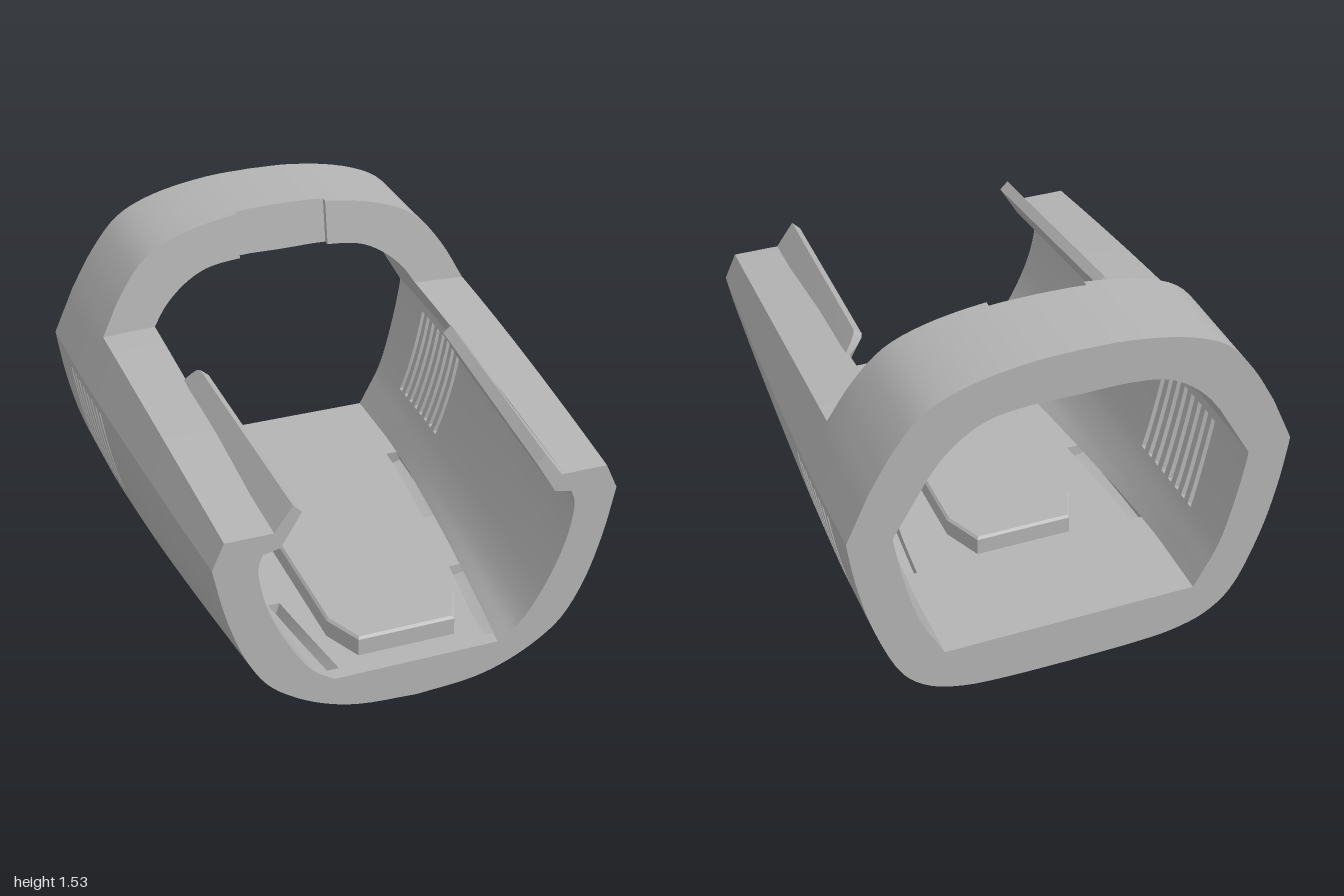
import * as THREE from 'three';
import { toCreasedNormals } from 'three/addons/utils/BufferGeometryUtils.js';

const STEPS = 4; // columns per profile interval
// Half profiles [x, y] from bottom centre, past the side crease (8) and rim (9), to top centre
const outerBack = [[0, 0], [.3, .005], [.46, .02], [.6, .065], [.71, .16], [.825, .42], [.885, .65], [.915, .83],
  [.922, .885], [.83, 1.09], [.73, 1.26], [.61, 1.4], [.45, 1.475], [.2, 1.522], [0, 1.53]];
const innerBack = [[0, .225], [.3, .225], [.49, .225], [.54, .225], [.575, .29], [.64, .42], [.7, .64], [.735, .82],
  [.74, .86], [.6, 1.1], [.54, 1.18], [.45, 1.26], [.35, 1.31], [.2, 1.33], [0, 1.33]];
const outerFront = [[0, .055], [.25, .075], [.4, .12], [.53, .19], [.63, .275], [.72, .43], [.79, .64], [.825, .8],
  [.835, .85], [.785, .96], ...outerBack.slice(10)];
const innerFront = [[0, .225], [.22, .225], [.3, .225], [.35, .225], [.44, .29], [.54, .44], [.625, .64], [.655, .8],
  [.65, .84], [.6, .96], ...innerBack.slice(10)];

// Vent slots
const SLOTS = 8, SLOT_START = -.31, PITCH = .0605, SLOT_WIDTH = .028;

const clamp = (v) => Math.min(1, Math.max(0, v));
const mix = (a, b, t) => a + (b - a) * t;

// Smooth curve through the points, with corners at the break indices
function sampleProfile(points, breaks) {
  const result = [];
  const stops = [0, ...breaks, points.length - 1];
  for (let s = 0; s < stops.length - 1; s++) {
    const run = points.slice(stops[s], stops[s + 1] + 1).map(([x, y]) => new THREE.Vector3(x, y, 0));
    const samples = new THREE.CatmullRomCurve3(run).getPoints((run.length - 1) * STEPS);
    result.push(...(s ? samples.slice(1) : samples));
  }
  return result;
}

function quad(out, a, b, c, d) {
  for (const p of [a, b, c, a, c, d]) out.push(p.x, p.y, p.z);
}

function toGeometry(positions, crease) {
  const geometry = new THREE.BufferGeometry();
  geometry.setAttribute('position', new THREE.Float32BufferAttribute(positions, 3));
  return toCreasedNormals(geometry, crease);
}

// Thick shell on a grid: each cell has a thickness from 0 (hole) to 1 (full wall)
function shellGeometry() {
  const oB = sampleProfile(outerBack, [8, 9]), oF = sampleProfile(outerFront, [8, 9]);
  const iB = sampleProfile(innerBack, [3, 8, 9]), iF = sampleProfile(innerFront, [3, 8, 9]);
  const half = oB.length - 1, cols = half * 2;

  const rows = [-1, -.9, -.8, -.53, -.5, -.2, -.1, .05, .2, .32, .44, .6, .77, .94, 1];
  for (let k = 0; k < SLOTS; k++) rows.push(SLOT_START - k * PITCH, SLOT_START - k * PITCH - SLOT_WIDTH);
  rows.sort((a, b) => a - b);

  const point = (back, front, j, z, inner) => {
    const m = j <= half ? j : cols - j;
    const w = Math.pow(clamp((z + .7) / 1.7), 1.4);
    const p = back[m].clone().lerp(front[m], w);
    p.x *= j <= half ? 1 : -1;
    p.z = z;
    // lean the front face of the hoop backwards
    if (m > 9 * STEPS) p.z -= .16 * Math.max(0, p.y - 1.09) * (z + 1) / .5;
    // bow the vents and rake them through the wall
    if (m < 8 * STEPS && z > -.78 && z < -.29) {
      p.z -= .022 * clamp((.83 - p.y) / .41) ** 2;
      if (inner) p.z += .04;
    }
    return p;
  };
  const grid = rows.map((z) => Array.from({ length: cols }, (_, j) =>
    [point(oB, oF, j, z, false), point(iB, iF, j, z, true)]));

  const thickness = (i, j) => {
    if (i < 0 || i >= rows.length - 1) return 0;
    j = (j + cols) % cols;
    const m = j < half ? j : cols - 1 - j;
    const z = (rows[i] + rows[i + 1]) / 2;
    if (m >= 9 * STEPS && z > -.5) return 0;                       // open top
    if (m >= 13 * STEPS && z > -.53) return 0;                     // hoop notch
    const s = (SLOT_START - z) / PITCH;
    if (m >= 5 * STEPS && m < 7 * STEPS && s > 0 && s < SLOTS && s % 1 < SLOT_WIDTH / PITCH) return 0;
    const groove = (z > -.53 && z < .05) || (z > .44 && z < .94);
    if (m >= 2 * STEPS && m < 3 * STEPS && groove) return .65;     // floor grooves
    return 1;
  };

  const out = [];
  const at = ([o, n], t) => o.clone().lerp(n, t);
  for (let i = 0; i < rows.length - 1; i++) {
    for (let j = 0; j < cols; j++) {
      const t = thickness(i, j);
      if (!t) continue;
      const k = (j + 1) % cols;
      const c = [grid[i][j], grid[i][k], grid[i + 1][k], grid[i + 1][j]];
      quad(out, ...c.map((p) => at(p, 0)));
      quad(out, ...[...c].reverse().map((p) => at(p, t)));
      const near = [thickness(i - 1, j), thickness(i, j + 1), thickness(i + 1, j), thickness(i, j - 1)];
      near.forEach((n, e) => {
        if (n >= t) return;
        const a = c[e], b = c[(e + 1) % 4];
        quad(out, at(b, n), at(a, n), at(a, t), at(b, t));
      });
    }
  }
  return toGeometry(out, .45);
}

// Retaining lip along the left rim, rounded off at its rear end
function lipGeometry() {
  const rear = [[.555, 1.13], [.52, 1.1], [.59, .97], [.65, .95], [.69, .98], [.68, 1.04], [.62, 1.045]];
  const front = [[.515, 1.065], [.48, 1.03], [.565, .89], [.63, .875], [.66, .9], [.65, .955], [.59, .96]];
  const stations = [-.08, -.07, -.055, -.04, -.02, 0, .25, .5, .75, 1];
  const sections = stations.map((z) => rear.map(([x, y], n) => {
    const s = Math.max(0, z), round = clamp(-z / .08) ** 2;
    return new THREE.Vector3(
      mix(mix(x, front[n][0], s), .66, round),
      mix(mix(y, front[n][1], s), 1.0, round), z);
  }));
  const out = [], count = rear.length;
  for (let i = 0; i < sections.length - 1; i++) {
    for (let n = 0; n < count; n++) {
      const k = (n + 1) % count;
      quad(out, sections[i][n], sections[i][k], sections[i + 1][k], sections[i + 1][n]);
    }
  }
  // front cap
  const end = sections[sections.length - 1];
  const cap = THREE.ShapeUtils.triangulateShape(end.map((p) => new THREE.Vector2(p.x, p.y)), []);
  for (const face of cap) for (const n of face) out.push(end[n].x, end[n].y, end[n].z);
  return toGeometry(out, .45);
}

// Raised pad with clipped corners
function padGeometry() {
  const outline = [[-.2, -.88], [.2, -.88], [.27, -.72], [.27, .32], [.2, .48], [-.2, .48], [-.27, .32], [-.27, -.72]];
  const shape = new THREE.Shape(outline.map(([x, y]) => new THREE.Vector2(x, y)));
  const geometry = new THREE.ExtrudeGeometry(shape, {
    depth: .09, bevelEnabled: true, bevelThickness: .01, bevelSize: .01, bevelSegments: 1 });
  return geometry.rotateX(-Math.PI / 2).translate(0, .21, 0);
}

export function createModel() {
  const model = new THREE.Group();
  model.name = 'sleeveHousing';
  const grey = new THREE.MeshStandardMaterial({ color: 0xb3b3b3 });
  grey.name = 'grey';

  const add = (name, geometry) => {
    const mesh = new THREE.Mesh(geometry, grey);
    mesh.name = name;
    model.add(mesh);
    return mesh;
  };
  add('shell', shellGeometry());
  add('floorPad', padGeometry());
  const lip = lipGeometry();
  add('leftLip', lip);
  add('rightLip', lip).scale.x = -1;
  return model;
}
